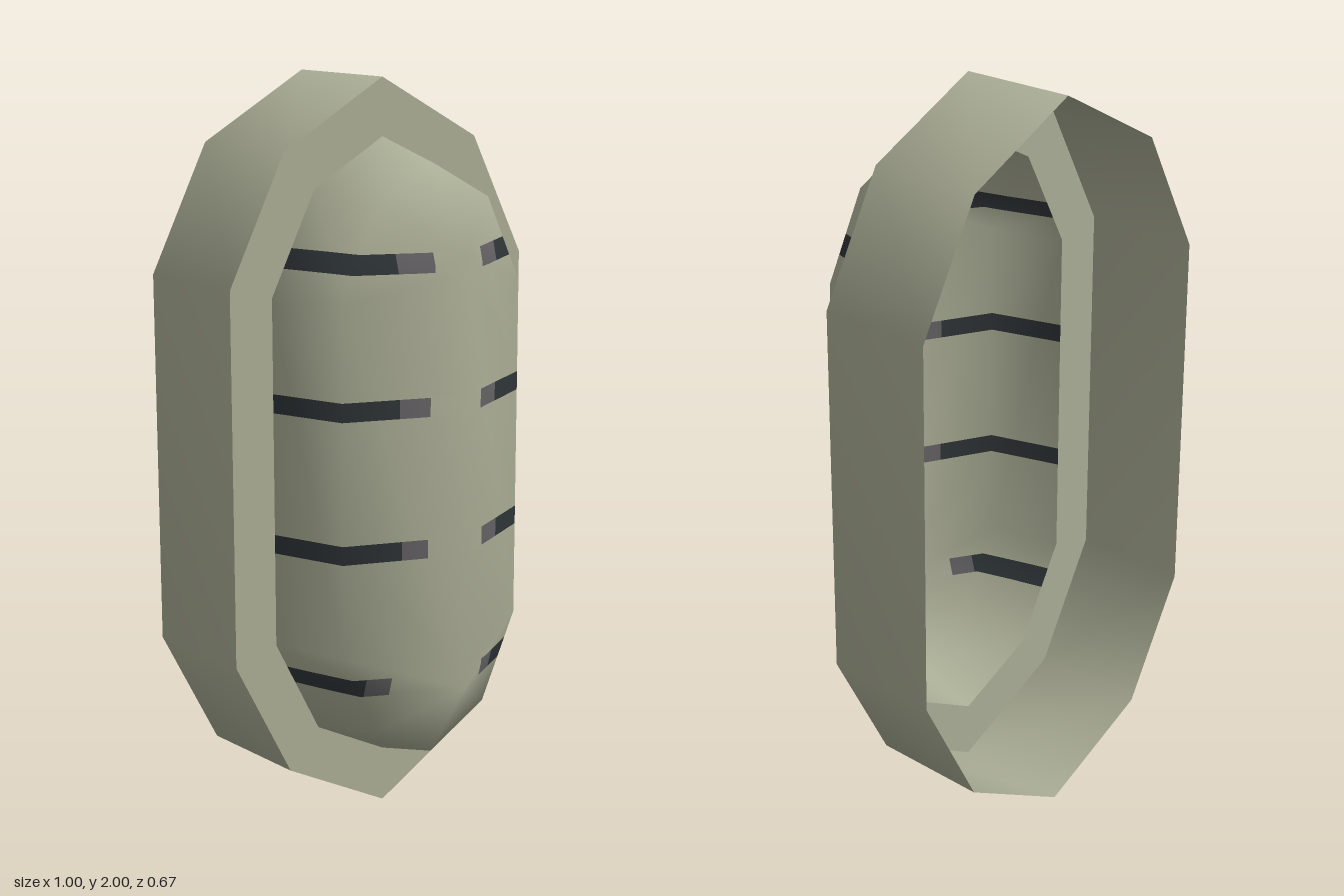
import * as THREE from 'three';
import { mergeVertices } from 'three/addons/utils/BufferGeometryUtils.js';

const material = (name, color) =>
  new THREE.MeshStandardMaterial({ name, color, side: THREE.DoubleSide });

// Ten-sided outline, counter-clockwise from the top, mirrored about x = 0 and y = 1.
// Arguments are the top height, the shoulder corner and the side corner.
function ring(z, top, shoulder, side) {
  const [sx, sy] = shoulder, [wx, wy] = side;
  return [
    [0, top], [-sx, sy], [-wx, wy], [-wx, 2 - wy], [-sx, 2 - sy],
    [0, 2 - top], [sx, 2 - sy], [wx, 2 - wy], [wx, wy], [sx, sy],
  ].map(([x, y]) => [x, y, z]);
}

// Skin between successive outlines, with smooth normals
function loft(rings) {
  const positions = [];
  for (let r = 0; r + 1 < rings.length; r++) {
    const a = rings[r], b = rings[r + 1];
    for (let i = 0; i < a.length; i++) {
      const j = (i + 1) % a.length;
      positions.push(...a[i], ...a[j], ...b[j], ...a[i], ...b[j], ...b[i]);
    }
  }
  let geometry = new THREE.BufferGeometry();
  geometry.setAttribute('position', new THREE.Float32BufferAttribute(positions, 3));
  geometry = mergeVertices(geometry, 1e-4);
  geometry.computeVertexNormals();
  return geometry;
}

// Cut a polygon of {p, n} corners along an axis; returns the pieces on each side
function cut(polygon, axis, value) {
  const low = [], high = [];
  polygon.forEach((a, i) => {
    const b = polygon[(i + 1) % polygon.length];
    const da = a.p[axis] - value, db = b.p[axis] - value;
    if (da <= 0) low.push(a);
    if (da >= 0) high.push(a);
    if (da * db < 0) {
      const t = da / (da - db);
      const c = { p: a.p.clone().lerp(b.p, t), n: a.n.clone().lerp(b.n, t).normalize() };
      low.push(c);
      high.push(c);
    }
  });
  return [low, high].filter((q) => q.length > 2);
}

// Slots: height, then inner tip and start of the dark part on the -x and +x sides
const SLOTS = [
  { y: 0.445, left: [0.1, 0.17], right: [0.18, 0.24] },
  { y: 0.815, left: [0.095, 0.18], right: [0.095, 0.16] },
  { y: 1.19, left: [0.08, 0.165], right: [0.09, 0.165] },
  { y: 1.56, left: [0.08, 0.175], right: [0.08, 0.165] },
];
const HALF = 0.025;

// Divide the dome's faces along the slot edges and group them by colour
function paintSlots(source) {
  const pos = source.attributes.position, nor = source.attributes.normal, index = source.index;
  let polygons = [];
  for (let i = 0; i < index.count; i += 3) {
    polygons.push([0, 1, 2].map((k) => ({
      p: new THREE.Vector3().fromBufferAttribute(pos, index.getX(i + k)),
      n: new THREE.Vector3().fromBufferAttribute(nor, index.getX(i + k)),
    })));
  }
  const centre = (q, axis) => q.reduce((s, c) => s + c.p[axis], 0) / q.length;
  const slotAt = (q) => SLOTS.find((s) => Math.abs(centre(q, 'y') - s.y) < HALF);

  for (const { y } of SLOTS)
    for (const edge of [y - HALF, y + HALF])
      polygons = polygons.flatMap((q) => cut(q, 'y', edge));

  const buckets = [[], [], []];
  for (const polygon of polygons) {
    const slot = slotAt(polygon);
    let pieces = [polygon];
    if (slot) {
      for (const x of [...slot.left, ...slot.right.map((v) => -v)])
        pieces = pieces.flatMap((q) => cut(q, 'x', x));
    }
    for (const q of pieces) {
      let colour = 0;
      if (slot) {
        const x = centre(q, 'x');
        const [tip, dark] = x > 0 ? slot.left : slot.right;
        colour = Math.abs(x) > dark ? 1 : Math.abs(x) > tip ? 2 : 0;
      }
      for (let k = 1; k + 1 < q.length; k++) buckets[colour].push(q[0], q[k], q[k + 1]);
    }
  }

  const geometry = new THREE.BufferGeometry();
  const corners = buckets.flat();
  geometry.setAttribute('position',
    new THREE.Float32BufferAttribute(corners.flatMap((c) => c.p.toArray()), 3));
  geometry.setAttribute('normal',
    new THREE.Float32BufferAttribute(corners.flatMap((c) => c.n.toArray()), 3));
  let start = 0;
  buckets.forEach((bucket, i) => {
    geometry.addGroup(start, bucket.length, i);
    start += bucket.length;
  });
  return geometry;
}

export function createModel() {
  const shell = material('olive grey shell', 0xaaad95);
  const dark = material('dark slot', 0x2f3538);
  const tip = material('grey slot tip', 0x646264);

  const outer = (z) => ring(z, 2, [0.325, 1.828], [0.5, 1.497]);
  const inner = ring(0, 1.847, [0.228, 1.728], [0.368, 1.463]);
  const middle = ring(0.2, 1.795, [0.19, 1.695], [0.305, 1.463]);
  const ridge = ring(0.333, 1.58, [0, 1.58], [0, 1.58]);

  const model = new THREE.Group();
  model.name = 'pod';
  const add = (name, geometry, mat) => {
    const mesh = new THREE.Mesh(geometry, mat);
    mesh.name = name;
    model.add(mesh);
  };

  // Open-backed wall, front rim and hollow ridged dome
  add('outerWall', loft([outer(-0.333), outer(0)]), shell);
  add('frontRim', loft([outer(0), inner]), shell);
  add('slottedDome', paintSlots(loft([inner, middle, ridge])), [shell, dark, tip]);
  return model;
}
